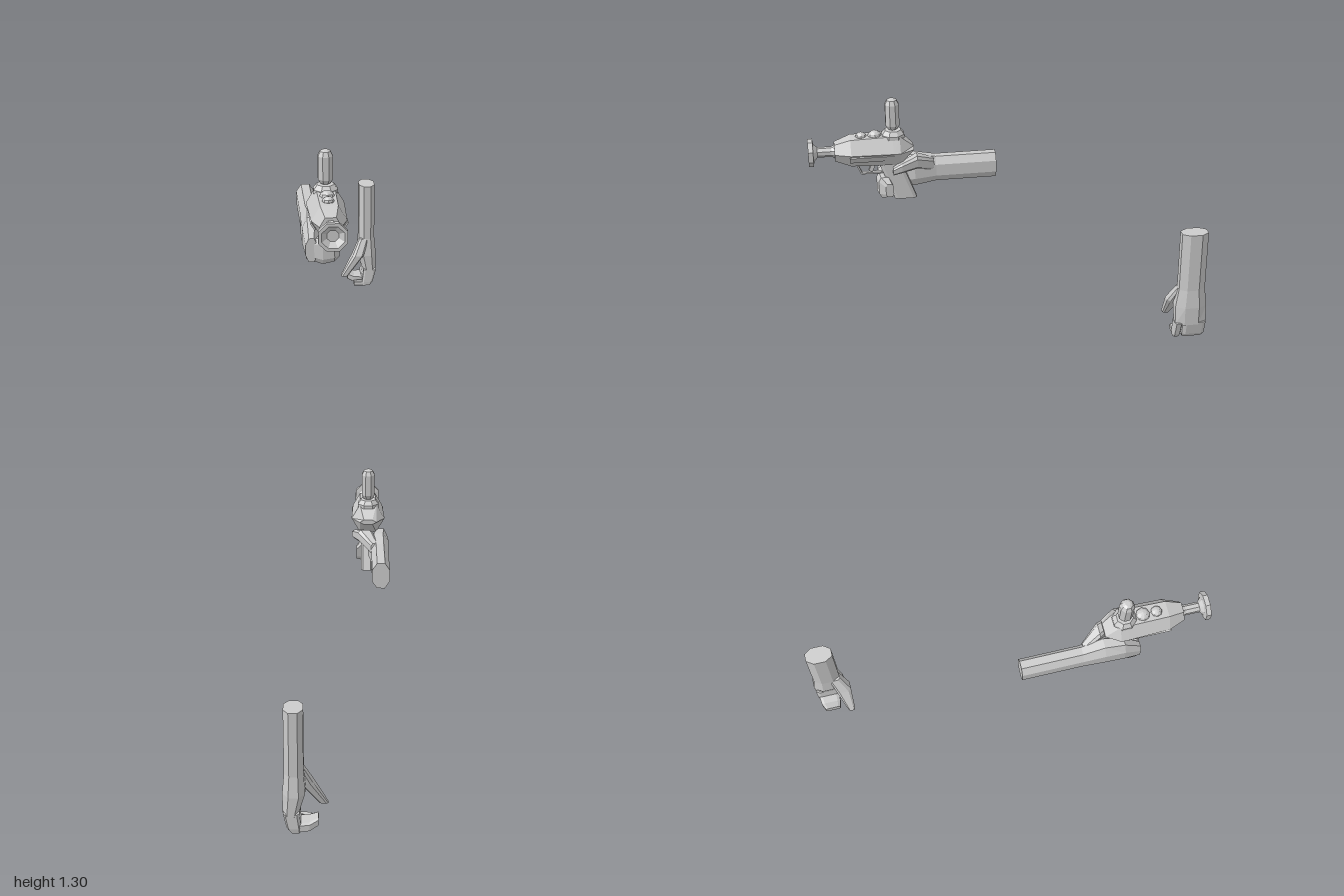
import * as THREE from 'three';

const mat = new THREE.MeshStandardMaterial({ color: 0xcccccc, flatShading: true, side: THREE.DoubleSide });

function mesh(name, geo, parent, x = 0, y = 0, z = 0) {
  const m = new THREE.Mesh(geo, mat);
  m.name = name;
  m.position.set(x, y, z);
  parent.add(m);
  return m;
}

// Skin through chamfered eight-sided sections, each [cx, cy, cz, halfU, halfV],
// lying across the given axis (u, v are the two other axes in x, y, z order).
function loft(axis, sections, k = 0.45) {
  const unit = [[1, k], [k, 1], [-k, 1], [-1, k], [-1, -k], [-k, -1], [k, -1], [1, -k]];
  const n = unit.length, pos = [], idx = [];
  for (const [cx, cy, cz, hu, hv] of sections) {
    for (const [a, b] of unit) {
      const u = a * hu, v = b * hv;
      if (axis === 'x') pos.push(cx, cy + u, cz + v);
      else if (axis === 'y') pos.push(cx + u, cy, cz + v);
      else pos.push(cx + u, cy + v, cz);
    }
  }
  const last = (sections.length - 1) * n;
  for (let s = 0; s < last; s += n) {
    for (let i = 0; i < n; i++) {
      const j = (i + 1) % n;
      idx.push(s + i, s + j, s + n + j, s + i, s + n + j, s + n + i);
    }
  }
  for (let i = 1; i < n - 1; i++) idx.push(0, i + 1, i, last, last + i, last + i + 1);
  // Turn the faces outward if the enclosed volume comes out negative
  const P = i => new THREE.Vector3().fromArray(pos, i * 3);
  let volume = 0;
  for (let i = 0; i < idx.length; i += 3) volume += P(idx[i]).dot(P(idx[i + 1]).cross(P(idx[i + 2])));
  if (volume < 0) idx.reverse();
  const g = new THREE.BufferGeometry();
  g.setAttribute('position', new THREE.Float32BufferAttribute(pos, 3));
  g.setIndex(idx);
  g.computeVertexNormals();
  return g;
}

// Turned part, profile points are [radius, height]
function turned(points, sides, start = 0) {
  return new THREE.LatheGeometry(points.map(p => new THREE.Vector2(...p)), sides, start);
}

function buildBlaster() {
  const g = new THREE.Group();
  g.name = 'blaster';
  g.position.set(-0.15, 1.045, 0);

  // Hexagonal body, its tail pinched into a wedge
  const body = turned([[0, 0.475], [0.045, 0.475], [0.088, 0.545], [0.088, 0.58], [0.081, 0.79], [0.05, 0.87], [0, 0.87]], 6, Math.PI / 2);
  body.rotateX(Math.PI / 2);
  const p = body.attributes.position;
  for (let i = 0; i < p.count; i++) if (p.getZ(i) < 0.5) p.setY(i, p.getY(i) * 0.3);
  mesh('body', body, g);

  // Barrel and hollow flared muzzle
  mesh('barrel', turned([[0.036, 0.86], [0.026, 0.885], [0.026, 0.975]], 8, Math.PI / 8).rotateX(Math.PI / 2), g);
  mesh('muzzle', turned([[0.026, 0.955], [0.045, 0.972], [0.07, 0.976], [0.07, 1], [0.054, 1], [0.028, 0.978], [0, 0.978]], 8, Math.PI / 8)
    .rotateX(Math.PI / 2), g);

  // Slanted side panels
  for (const s of [-1, 1]) {
    const panel = mesh('sidePanel', new THREE.BoxGeometry(0.008, 0.036, 0.22), g, s * 0.073, -0.024, 0.688);
    panel.rotation.z = -s * Math.PI / 6;
  }

  // Domed buttons and the upright capsule on its collar
  for (const [z, r] of [[0.735, 0.028], [0.667, 0.035]]) {
    const dome = mesh('button', new THREE.SphereGeometry(r, 8, 6), g, 0, 0.073, z);
    dome.scale.y = 0.75;
  }
  mesh('collar', turned([[0.06, 0.06], [0.06, 0.078], [0.042, 0.1], [0, 0.1]], 8, Math.PI / 8), g, 0, 0, 0.575);
  mesh('capsule', turned([[0, 0.09], [0.025, 0.105], [0.037, 0.125], [0.037, 0.235], [0.026, 0.257], [0.013, 0.264], [0, 0.264]], 8, Math.PI / 8),
    g, 0, 0, 0.575);

  // Slanted grip
  mesh('grip', loft('y', [[0.006, -0.06, 0.6, 0.03, 0.056], [0.006, -0.27, 0.523, 0.03, 0.056]], 0.7), g);

  // Trigger guard from thin bars, and the trigger
  const bar = (name, y0, z0, y1, z1, w) => {
    const b = mesh(name, new THREE.BoxGeometry(0.022, w, Math.hypot(y1 - y0, z1 - z0)), g, 0, (y0 + y1) / 2, (z0 + z1) / 2);
    b.rotation.x = -Math.atan2(y1 - y0, z1 - z0);
  };
  bar('triggerGuard', -0.07, 0.765, -0.128, 0.74, 0.008);
  bar('triggerGuard', -0.128, 0.742, -0.128, 0.62, 0.008);
  bar('trigger', -0.07, 0.675, -0.118, 0.695, 0.02);
  return g;
}

function buildGrippingHand() {
  const g = new THREE.Group();
  g.name = 'rightArm';
  // Forearm running into the back of the hand
  mesh('forearmAndPalm', loft('z', [
    [-0.211, 0.896, 0.05, 0.045, 0.067],
    [-0.211, 0.896, 0.36, 0.045, 0.067],
    [-0.205, 0.9, 0.47, 0.055, 0.085],
    [-0.218, 0.89, 0.57, 0.041, 0.09],
    [-0.222, 0.85, 0.655, 0.027, 0.058],
  ]), g);
  // Fingers wrapped across the front of the grip
  mesh('fingers', loft('x', [
    [-0.245, 0.85, 0.615, 0.05, 0.03],
    [-0.17, 0.843, 0.633, 0.063, 0.033],
    [-0.115, 0.843, 0.627, 0.055, 0.031],
    [-0.09, 0.835, 0.605, 0.035, 0.02],
  ], 0.6), g);
  // Thumb along the inner side
  mesh('thumb', loft('z', [
    [-0.185, 0.93, 0.37, 0.02, 0.03],
    [-0.135, 0.972, 0.46, 0.04, 0.034],
    [-0.095, 0.958, 0.54, 0.027, 0.025],
    [-0.083, 0.945, 0.585, 0.02, 0.018],
  ], 0.6), g);
  return g;
}

function buildOpenHand() {
  const g = new THREE.Group();
  g.name = 'leftArm';
  // Hanging forearm and palm
  mesh('forearmAndPalm', loft('y', [
    [0.202, 0.622, -0.915, 0.045, 0.069],
    [0.202, 0.3, -0.915, 0.045, 0.069],
    [0.203, 0.2, -0.914, 0.053, 0.083],
    [0.217, 0.1, -0.915, 0.038, 0.082],
  ]), g);
  // Index finger, then the other three as one mitt, each with a curled tip
  mesh('indexFinger', loft('y', [
    [0.217, 0.11, -0.85, 0.036, 0.019],
    [0.203, 0.035, -0.848, 0.03, 0.018],
    [0.195, 0.013, -0.848, 0.022, 0.016],
  ], 0.7), g);
  mesh('indexFingertip', loft('x', [
    [0.21, 0.027, -0.848, 0.016, 0.016],
    [0.125, 0.024, -0.85, 0.013, 0.015],
  ], 0.7), g);
  mesh('fingers', loft('y', [
    [0.215, 0.11, -0.934, 0.038, 0.062],
    [0.203, 0.035, -0.934, 0.034, 0.06],
    [0.195, 0.012, -0.934, 0.025, 0.055],
  ], 0.7), g);
  mesh('fingertips', loft('x', [
    [0.2, 0.032, -0.934, 0.022, 0.056],
    [0.13, 0.035, -0.93, 0.022, 0.052],
    [0.09, 0.053, -0.925, 0.02, 0.04],
  ], 0.7), g);
  // Thumb spread away from the palm
  mesh('thumb', loft('y', [
    [0.185, 0.3, -0.875, 0.026, 0.03],
    [0.148, 0.21, -0.842, 0.032, 0.04],
    [0.066, 0.085, -0.825, 0.02, 0.018],
  ], 0.6), g);
  return g;
}

export function createModel() {
  const model = new THREE.Group();
  model.name = 'handsWithBlaster';
  model.add(buildBlaster(), buildGrippingHand(), buildOpenHand());
  return model;
}
